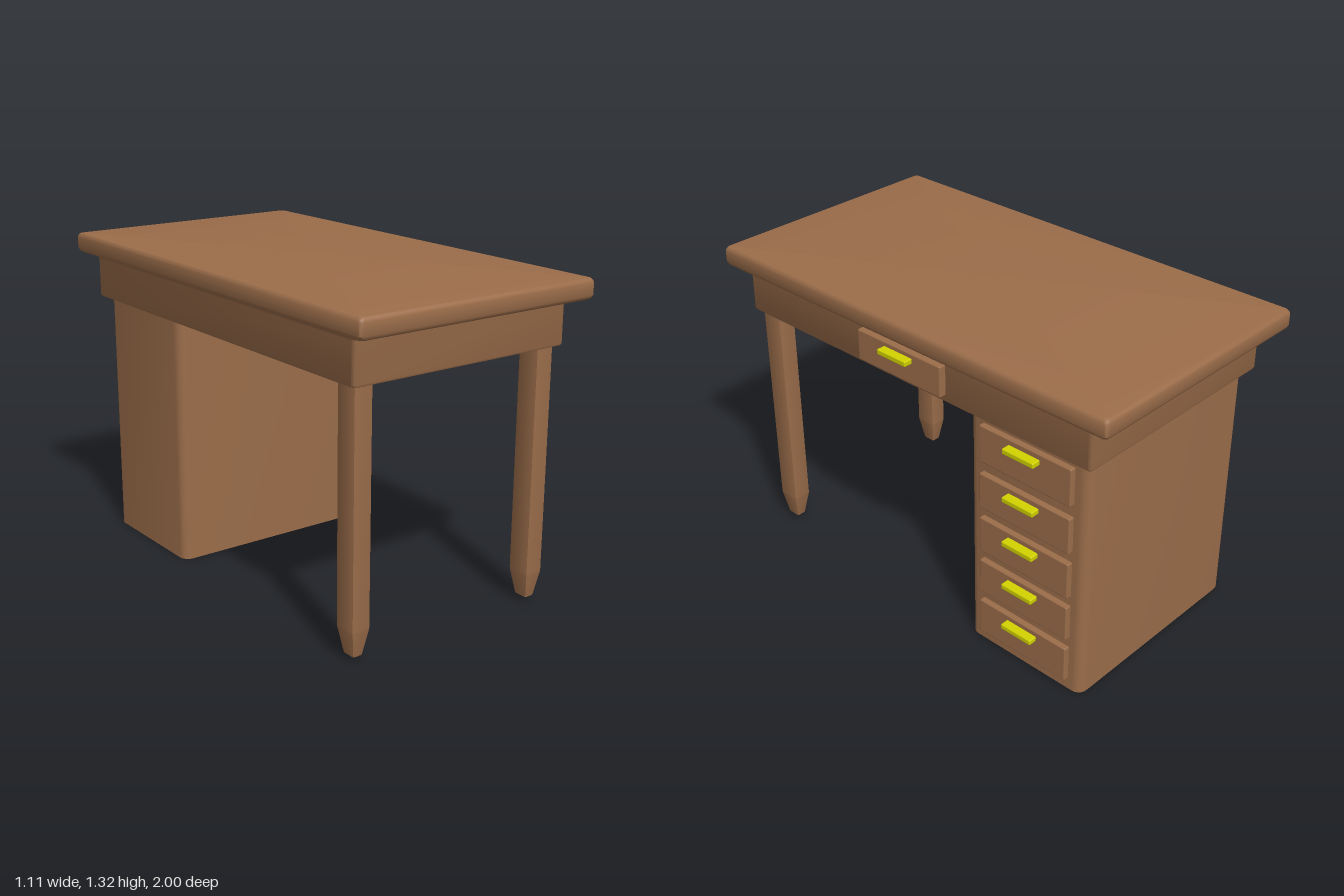
import * as THREE from 'three';
import { toCreasedNormals } from 'three/addons/utils/BufferGeometryUtils.js';
import { RoundedBoxGeometry } from 'three/addons/geometries/RoundedBoxGeometry.js';

const wood = new THREE.MeshStandardMaterial({ color: 0x9b6d4a });
const woodOpen = new THREE.MeshStandardMaterial({ color: 0x9b6d4a, side: THREE.DoubleSide });
const brass = new THREE.MeshStandardMaterial({ color: 0xd2d200 });
const CX = -0.0075; // the carcass sits slightly to the right to make room for the handles

// Rounded rectangle in plan, swept through [inset, y] rings from bottom to top
function loft(halfW, halfD, radius, rings, capped = true, steps = 5) {
  const pos = [], index = [];
  for (const [inset, y] of rings) {
    for (let q = 0; q < 4; q++) {
      const sx = q === 0 || q === 3 ? 1 : -1, sz = q < 2 ? 1 : -1;
      for (let s = 0; s <= steps; s++) {
        const a = (q + s / steps) * Math.PI / 2;
        pos.push(
          sx * (halfW - inset - radius) + radius * Math.cos(a), y,
          sz * (halfD - inset - radius) + radius * Math.sin(a));
      }
    }
  }
  const n = 4 * (steps + 1), last = (rings.length - 1) * n;
  for (let r = 0; r < rings.length - 1; r++) {
    for (let i = 0; i < n; i++) {
      const a = r * n + i, b = r * n + (i + 1) % n;
      index.push(a, a + n, b, b, a + n, b + n);
    }
  }
  if (capped) {
    const c = pos.length / 3;
    pos.push(0, rings[0][1], 0, 0, rings[rings.length - 1][1], 0);
    for (let i = 0; i < n; i++) {
      const j = (i + 1) % n;
      index.push(c, i, j, c + 1, last + j, last + i);
    }
  }
  const g = new THREE.BufferGeometry();
  g.setAttribute('position', new THREE.Float32BufferAttribute(pos, 3));
  g.setIndex(index);
  return toCreasedNormals(g, 0.6);
}

function add(parent, name, geometry, material, x = 0, y = 0, z = 0) {
  const m = new THREE.Mesh(geometry, material);
  m.name = name;
  m.position.set(x, y, z);
  parent.add(m);
  return m;
}

// Drawer front with a bar handle, standing proud of the +x face
function addDrawer(parent, name, front, y0, y1, z, handleY) {
  const g = new THREE.Group();
  g.name = name;
  add(g, 'drawerFront', new RoundedBoxGeometry(0.05, y1 - y0, 0.44, 2, 0.006), wood,
    front - 0.025, (y0 + y1) / 2, z);
  add(g, 'handle', new RoundedBoxGeometry(0.045, 0.023, 0.15, 2, 0.005), brass,
    front + 0.0135, handleY, z);
  parent.add(g);
}

export function createModel() {
  const desk = new THREE.Group();
  desk.name = 'desk';

  // Apron flaring through a small cove into the table top
  add(desk, 'apron', loft(0.4975, 0.903, 0.015, [
    [0.010, 1.05], [0.003, 1.053], [0, 1.06], [0, 1.215],
    [-0.003, 1.224], [-0.010, 1.231], [-0.022, 1.236],
  ]), wood, CX);
  add(desk, 'tableTop', loft(0.5475, 1, 0.016, [
    [0.028, 1.235], [0.016, 1.237], [0.006, 1.243], [0, 1.255],
    [0, 1.301], [0.003, 1.311], [0.009, 1.318], [0.019, 1.32],
  ]), wood, CX);

  // Tapered front legs
  const legShape = loft(0.039, 0.048, 0.004, [
    [0.024, 0.02], [0.019, 0.023], [0.017, 0.032], [0.001, 0.125], [0, 0.135], [0, 1.06],
  ], true, 2);
  for (const side of [-1, 1]) {
    add(desk, side < 0 ? 'rightLeg' : 'leftLeg', legShape, wood, CX + side * 0.431, 0, 0.827);
  }

  // Drawer pedestal, a shell open underneath
  add(desk, 'pedestal', loft(0.463, 0.286, 0.04, [[0, 0], [0, 1.055]], false),
    woodOpen, CX, 0, -0.585);

  // Drawers: five in the pedestal, one in the apron
  const rows = [
    [0.05, 0.207, 0.174], [0.25, 0.405, 0.371], [0.447, 0.605, 0.572],
    [0.65, 0.806, 0.772], [0.857, 1.016, 0.982],
  ];
  rows.forEach(([y0, y1, h], i) =>
    addDrawer(desk, `pedestalDrawer${i + 1}`, 0.479, y0, y1, -0.59, h));
  addDrawer(desk, 'centreDrawer', 0.519, 1.08, 1.21, 0.005, 1.18);

  return desk;
}
